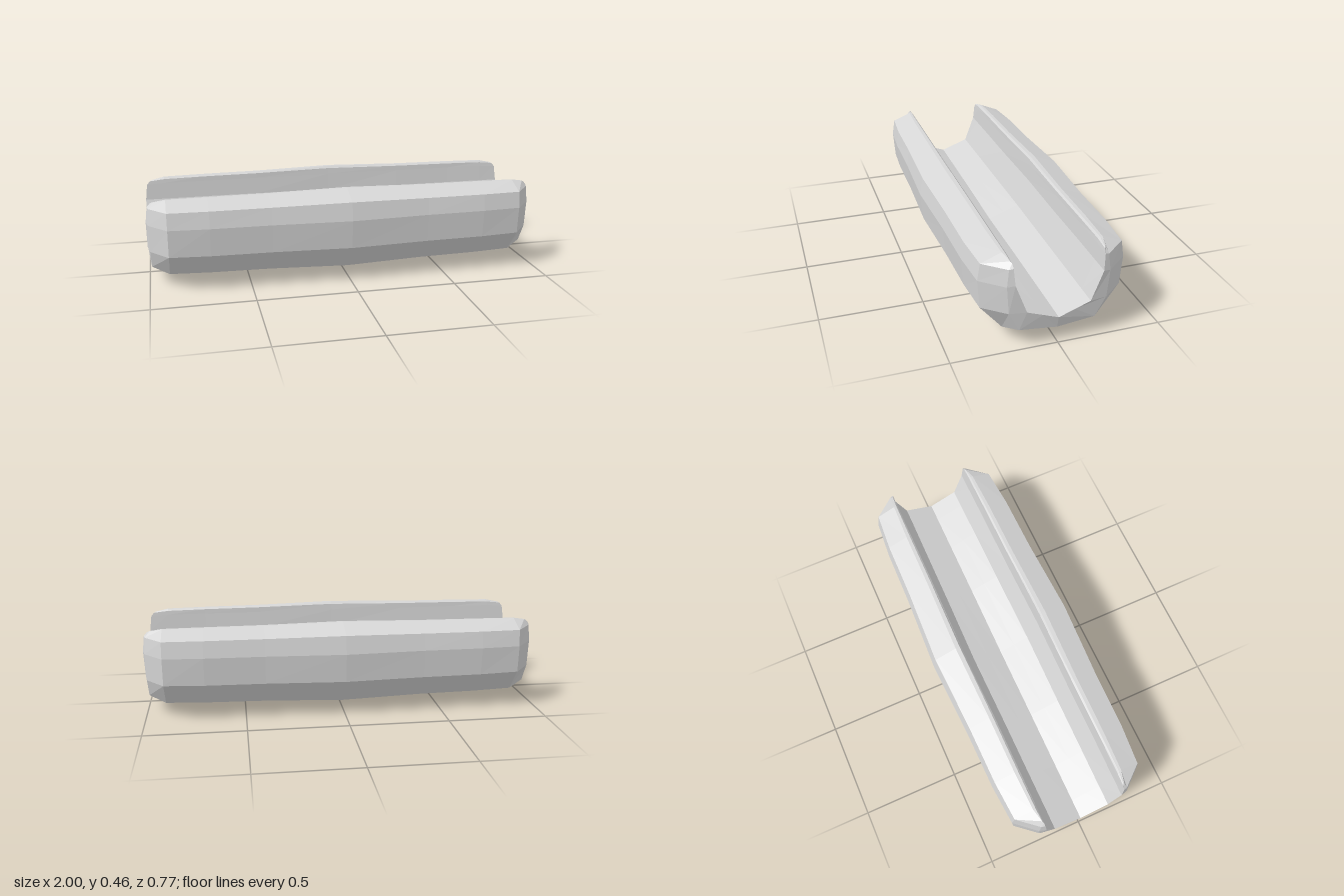
import * as THREE from 'three';

// Half cross-sections as [z, y]: outer keel up to the lip, rim, then inner lip down to the floor.
const OUTER = {
  mid: [[0, 0], [0.255, 0.049], [0.369, 0.183], [0.383, 0.328], [0.367, 0.42], [0.252, 0.463]],
  quarter: [[0, 0.013], [0.243, 0.059], [0.353, 0.186], [0.366, 0.329], [0.351, 0.414], [0.244, 0.454]],
  outer: [[0, 0.016], [0.239, 0.062], [0.348, 0.187], [0.361, 0.329], [0.347, 0.413], [0.242, 0.452]],
  shoulder: [[0, 0.022], [0.232, 0.067], [0.335, 0.189], [0.345, 0.328], [0.332, 0.411], [0.235, 0.45]],
  end: [[0, 0.074], [0.18, 0.094], [0.23, 0.19], [0.24, 0.328], [0.23, 0.41], [0.222, 0.438]],
};
const RIM = {
  mid: [0.23, 0.463], quarter: [0.225, 0.454], outer: [0.224, 0.452], shoulder: [0.222, 0.45], end: [0.218, 0.439],
};
const INNER = {
  mid: [[0.221, 0.452], [0.219, 0.42], [0.215, 0.333], [0.159, 0.184], [0.0795, 0.153], [0, 0.122]],
  quarter: [[0.216, 0.446], [0.215, 0.42], [0.209, 0.334], [0.154, 0.188], [0.077, 0.159], [0, 0.13]],
  outer: [[0.215, 0.444], [0.214, 0.42], [0.208, 0.335], [0.152, 0.189], [0.076, 0.161], [0, 0.132]],
  shoulder: [[0.214, 0.441], [0.212, 0.42], [0.206, 0.335], [0.15, 0.19], [0.075, 0.162], [0, 0.134]],
  end: [[0.213, 0.433], [0.211, 0.415], [0.205, 0.335], [0.15, 0.19], [0.075, 0.162], [0, 0.134]],
};
// How far each point of the end section sits along x
const END_X = [0.985, 0.985, 0.988, 0.99, 0.985, 0.962, 0.964, 0.975, 0.99, 1, 1, 1, 1];
// Sideways drift of the keel
const KEEL_Z = { mid: -0.025, quarter: -0.02, outer: -0.018, shoulder: 0, end: 0 };
const STATIONS = [
  ['end', -1], ['shoulder', -0.9], ['outer', -0.7], ['quarter', -0.4], ['mid', 0],
  ['quarter', 0.4], ['outer', 0.7], ['shoulder', 0.9], ['end', 1],
];

// Closed ring: the front half, then the mirrored back half
function section([name, x]) {
  const half = [...OUTER[name], RIM[name], ...INNER[name]];
  const side = (sign) => half.map(([z, y], i) => [name === 'end' ? x * END_X[i] : x, y, sign * z]);
  const ring = [...side(1), ...side(-1).slice(1, -1).reverse()];
  ring[0][2] = KEEL_Z[name];
  return ring;
}

function troughGeometry() {
  const rings = STATIONS.map(section);
  const n = rings[0].length;
  const pos = [];
  const poly = (p, flip) => {
    const c = flip ? [...p].reverse() : p;
    for (let k = 1; k < c.length - 1; k++) pos.push(...c[0], ...c[k], ...c[k + 1]);
  };

  // Skin between neighbouring cross-sections
  for (let s = 0; s < rings.length - 1; s++) {
    for (let i = 0; i < n; i++) {
      const j = (i + 1) % n;
      poly([rings[s][i], rings[s + 1][i], rings[s + 1][j], rings[s][j]], false);
    }
  }

  // Band-shaped ends joining the outer skin to the inner channel
  const cap = (ring, flip) => {
    for (const mirrored of [false, true]) {
      const at = (k) => ring[mirrored ? (n - k) % n : k];
      const turn = flip !== mirrored;
      for (let i = 0; i < 5; i++) poly([at(i), at(12 - i), at(11 - i), at(i + 1)], turn);
      poly([at(5), at(7), at(6)], turn);
    }
  };
  cap(rings[0], true);
  cap(rings[rings.length - 1], false);

  const geometry = new THREE.BufferGeometry();
  geometry.setAttribute('position', new THREE.Float32BufferAttribute(pos, 3));
  geometry.computeVertexNormals();
  return geometry;
}

export function createModel() {
  const grey = new THREE.MeshStandardMaterial({ color: 0xd6d6d6 });
  grey.name = 'lightGrey';
  const trough = new THREE.Mesh(troughGeometry(), grey);
  trough.name = 'trough';
  const group = new THREE.Group();
  group.name = 'openTrough';
  group.add(trough);
  return group;
}
